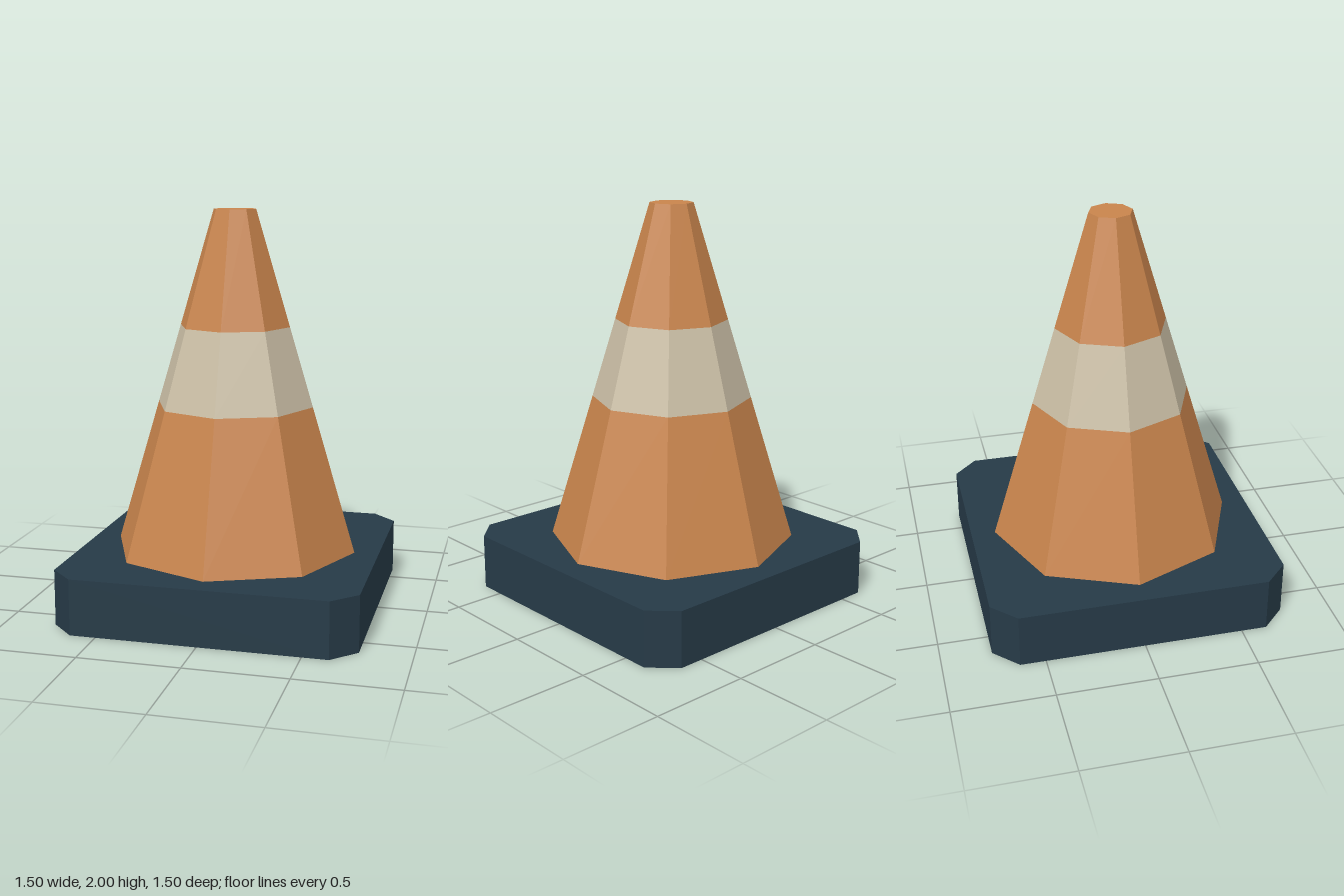
import * as THREE from 'three';

const orange = new THREE.MeshStandardMaterial({ color: 0xc8844c, flatShading: true });
const cream = new THREE.MeshStandardMaterial({ color: 0xcabea5, flatShading: true });
const slate = new THREE.MeshStandardMaterial({ color: 0x263a47, flatShading: true });
orange.name = 'orange';
cream.name = 'cream';
slate.name = 'slate';

const BASE_TOP = 0.28, TOP = 2;

// Cone radius at a given height
const radiusAt = (y) => THREE.MathUtils.mapLinear(y, BASE_TOP, TOP, 0.625, 0.108);

// One eight-sided section of the cone between two heights
function coneSection(name, y0, y1, material, open) {
  const geometry = new THREE.CylinderGeometry(radiusAt(y1), radiusAt(y0), y1 - y0, 8, 1, open);
  const mesh = new THREE.Mesh(geometry, material);
  mesh.position.y = (y0 + y1) / 2;
  mesh.name = name;
  return mesh;
}

export function createModel() {
  const model = new THREE.Group();
  model.name = 'trafficCone';

  // Square base plate with chamfered corners
  const h = 0.748, c = 0.628;
  const outline = new THREE.Shape([
    [c, -h], [h, -c], [h, c], [c, h], [-c, h], [-h, c], [-h, -c], [-c, -h],
  ].map(([x, y]) => new THREE.Vector2(x, y)));
  const plate = new THREE.ExtrudeGeometry(outline, { depth: BASE_TOP, bevelEnabled: false });
  plate.rotateX(-Math.PI / 2);
  const base = new THREE.Mesh(plate, slate);
  base.name = 'base';
  model.add(base);

  // Cone body with a pale band; only the tip needs a cap
  model.add(
    coneSection('lowerCone', BASE_TOP, 1.02, orange, true),
    coneSection('band', 1.02, 1.42, cream, true),
    coneSection('upperCone', 1.42, TOP, orange, false),
  );
  return model;
}
